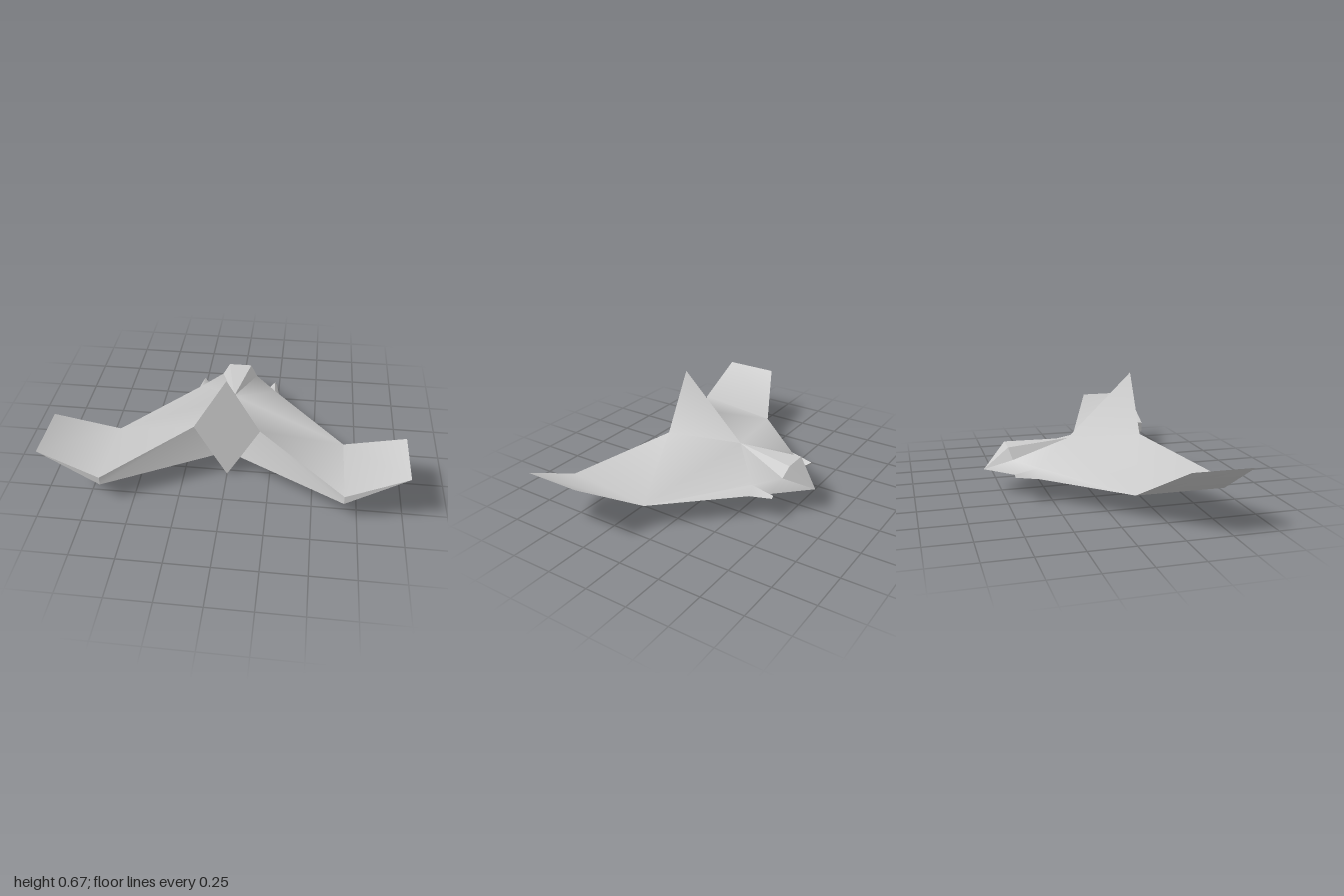
import * as THREE from 'three';
import { toCreasedNormals } from 'three/addons/utils/BufferGeometryUtils.js';

// Corner points of the +x half; the other half is mirrored.
const P = {
  nose: [0, 0.135, -0.6],
  lead: [0.27, 0.135, -0.325],       // leading edge behind the prong
  elbowFront: [0.67, 0.135, 0.1],
  elbowTop: [0.67, 0.185, 0.6],
  elbowLow: [0.67, 0.135, 0.6],
  tipFront: [1, 0.343, 0.265],
  tipBack: [1, 0.343, 0.6],
  finTop: [0, 0.665, 0.283],
  shoulder: [0.188, 0.335, 0.283],
  tailLow: [0.077, 0.135, 0.283],
  keel: [0, 0, 0.283],
  keelFront: [0, 0.135, -0.08],
  spine: [0, 0.29, -0.1],            // rear point of the canopy
  canopyMid: [0, 0.275, -0.467],
  canopyTop: [0.07, 0.275, -0.467],
  canopySide: [0.11, 0.21, -0.447],
  prongRoot: [0.185, 0.135, -0.412],
  prongIn: [0.23, 0.16, -0.457],
  prongOut: [0.24, 0.145, -0.455],
  prongRidge: [0.235, 0.19, -0.32],
};

// Fans each named polygon into triangles and adds its mirror image.
function mirrored(name, faces, crease) {
  const pos = [];
  for (const face of faces) {
    const c = face.split(' ').map((key) => P[key]);
    for (let i = 1; i < c.length - 1; i++) {
      pos.push(...c[0], ...c[i], ...c[i + 1]);
      for (const [x, y, z] of [c[0], c[i + 1], c[i]]) pos.push(-x, y, z);
    }
  }
  const geo = new THREE.BufferGeometry();
  geo.setAttribute('position', new THREE.Float32BufferAttribute(pos, 3));
  const mat = new THREE.MeshStandardMaterial({ color: 0xcccccc, side: THREE.DoubleSide });
  const mesh = new THREE.Mesh(toCreasedNormals(geo, crease), mat);
  mesh.name = name;
  return mesh;
}

export function createModel() {
  const group = new THREE.Group();
  group.name = 'gliderCraft';

  // Smoothly blended upper body, fin, wings and forward prongs
  group.add(mirrored('hullTop', [
    'nose canopySide prongRoot',
    'canopySide prongRidge prongRoot',
    'canopySide spine prongRidge',
    'spine elbowFront prongRidge',
    'spine shoulder elbowFront',
    'spine finTop shoulder',
    'shoulder elbowTop elbowFront',
    'elbowFront elbowTop tipBack tipFront',
    'prongRidge elbowFront lead',
    'prongRoot prongRidge prongIn',
    'prongIn prongRidge lead prongOut',
  ], 1.3));

  // Flat belly, raised wing-tip and prong undersides
  group.add(mirrored('belly', [
    'keelFront nose prongRoot lead',
    'keelFront lead elbowFront',
    'keelFront elbowFront tailLow',
    'tailLow elbowFront elbowLow',
    'elbowFront tipFront tipBack elbowLow',
    'keelFront tailLow keel',
    'prongRoot prongIn prongOut lead',
  ], 1.1));

  // Diamond tail face, trailing edges and thin wing-tip ends
  group.add(mirrored('tail', [
    'finTop keel tailLow shoulder',
    'shoulder tailLow elbowLow elbowTop',
    'elbowTop elbowLow tipBack',
  ], 0.3));

  // Faceted canopy and nose
  group.add(mirrored('canopy', [
    'spine canopyTop canopyMid',
    'spine canopySide canopyTop',
    'nose canopyMid canopyTop',
    'nose canopyTop canopySide',
  ], 0.2));

  return group;
}
